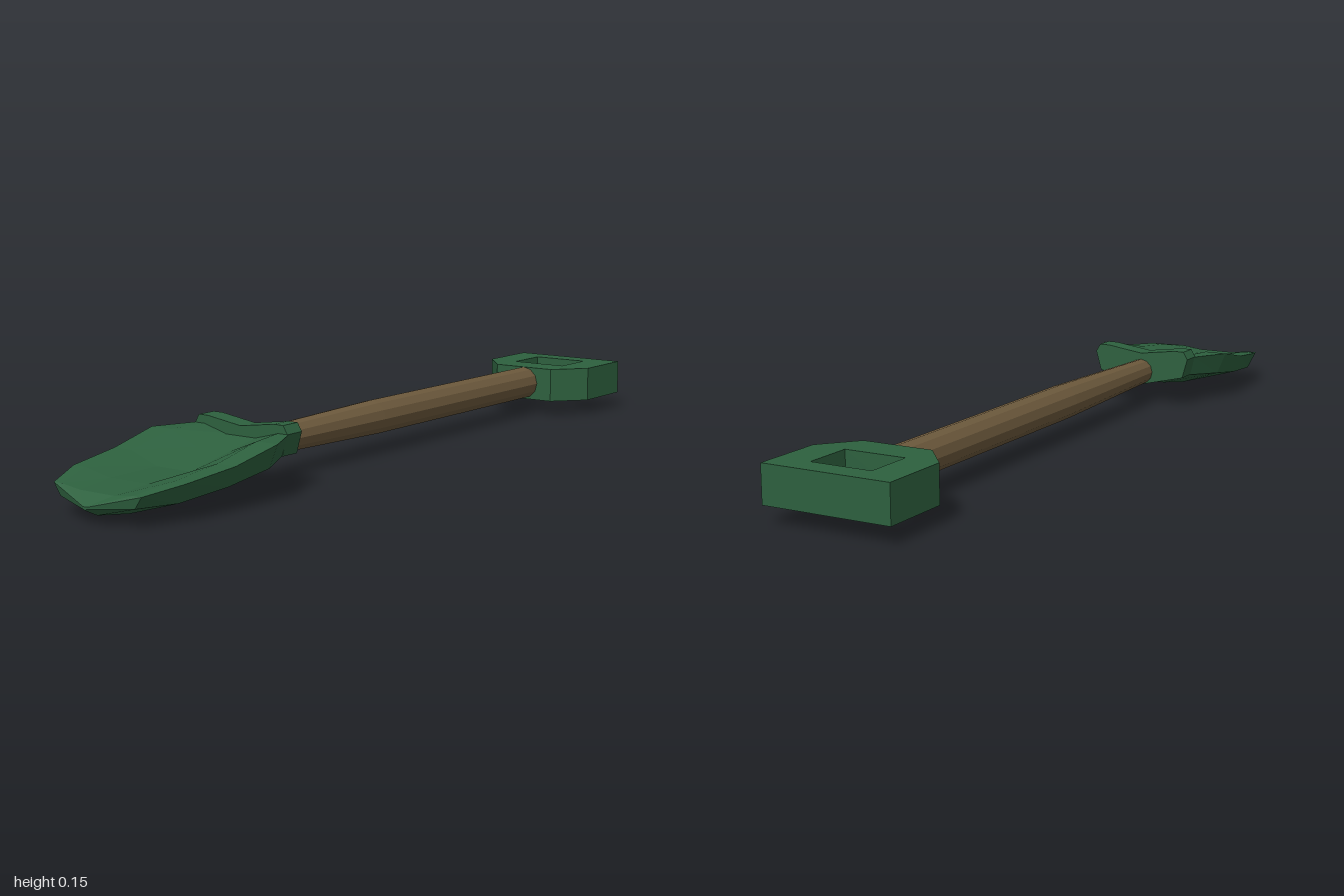
import * as THREE from 'three';

const green = new THREE.MeshStandardMaterial({ color: 0x2d603e });
green.name = 'green metal';
const brown = new THREE.MeshStandardMaterial({ color: 0x6c593c });
brown.name = 'brown wood';

// Unshared vertices give every face its own flat normal
function flatMesh(name, geometry, material) {
  const flat = geometry.index ? geometry.toNonIndexed() : geometry;
  flat.computeVertexNormals();
  const mesh = new THREE.Mesh(flat, material);
  mesh.name = name;
  return mesh;
}

// Mirrored sections joined along x, with the first one capped
function bladeGeometry() {
  // x, keel y, chine z, chine y, rim z, rim y, inner rim z, floor z, floor y
  const sections = [
    [-1.0, 0.034, 0.004, 0.037, 0.006, 0.042, 0.004, 0.002, 0.042],
    [-0.965, 0.017, 0.11, 0.045, 0.13, 0.073, 0.105, 0.05, 0.066],
    [-0.87, 0.003, 0.145, 0.045, 0.168, 0.09, 0.13, 0.055, 0.075],
    [-0.73, 0.012, 0.16, 0.058, 0.182, 0.106, 0.13, 0.05, 0.078],
    [-0.6, 0.034, 0.166, 0.078, 0.19, 0.135, 0.13, 0.048, 0.102],
    [-0.5, 0.056, 0.12, 0.085, 0.14, 0.137, 0.11, 0.045, 0.12],
    [-0.47, 0.06, 0.115, 0.088, 0.135, 0.135, 0.105, 0.045, 0.12],
  ];
  const rings = sections.map(([x, ky, cz, cy, rz, ry, iz, fz, fy]) => {
    const half = [[cz, cy], [rz, ry], [iz, ry], [fz, fy]];
    const other = half.map(([z, y]) => [-z, y]).reverse();
    return [[0, ky], ...half, ...other].map(([z, y]) => [x, y, z]);
  });
  const n = rings[0].length;
  const index = [];
  for (let i = 0; i < rings.length - 1; i++) {
    for (let j = 0; j < n; j++) {
      const k = (j + 1) % n;
      const a = i * n + j, b = i * n + k, c = b + n, d = a + n;
      index.push(a, d, b, d, c, b);
    }
  }
  for (let j = 1; j < n - 1; j++) index.push(0, j, j + 1);
  const geometry = new THREE.BufferGeometry();
  geometry.setAttribute('position', new THREE.Float32BufferAttribute(rings.flat(2), 3));
  geometry.setIndex(index);
  return geometry;
}

function shapeOf(points) {
  return new THREE.Shape(points.map(([x, y]) => new THREE.Vector2(x, y)));
}

export function createModel() {
  const shovel = new THREE.Group();
  shovel.name = 'shovel';

  shovel.add(flatMesh('blade', bladeGeometry(), green));

  // Foot step: chevron bar across the back of the blade
  const step = shapeOf([
    [0, 0.055], [0.125, 0.085], [0.14, 0.137], [0.128, 0.157], [0.1, 0.157],
    [0, 0.143], [-0.1, 0.157], [-0.128, 0.157], [-0.14, 0.137], [-0.125, 0.085],
  ]);
  const stepGeometry = new THREE.ExtrudeGeometry(step, { depth: 0.052, bevelEnabled: false });
  stepGeometry.rotateY(Math.PI / 2).translate(-0.506, 0, 0);
  shovel.add(flatMesh('footStep', stepGeometry, green));

  // Shaft, slimmer towards the blade
  const shaftProfile = [[0, -0.5], [0.033, -0.5], [0.034, -0.45], [0.045, 0], [0.045, 0.745], [0, 0.745]];
  const shaftGeometry = new THREE.LatheGeometry(shaftProfile.map(([r, y]) => new THREE.Vector2(r, y)), 12);
  shaftGeometry.rotateZ(-Math.PI / 2).translate(0, 0.092, 0);
  shovel.add(flatMesh('shaft', shaftGeometry, brown));

  // Grip with a rectangular hand hole
  const grip = shapeOf([
    [0.735, -0.09], [0.82, -0.163], [1, -0.163], [1, 0.163], [0.82, 0.163], [0.735, 0.09],
  ]);
  grip.holes.push(shapeOf([[0.82, -0.078], [0.82, 0.078], [0.942, 0.078], [0.942, -0.078]]));
  const gripGeometry = new THREE.ExtrudeGeometry(grip, { depth: 0.092, bevelEnabled: false });
  gripGeometry.rotateX(-Math.PI / 2).translate(0, 0.045, 0);
  shovel.add(flatMesh('grip', gripGeometry, green));

  return shovel;
}
